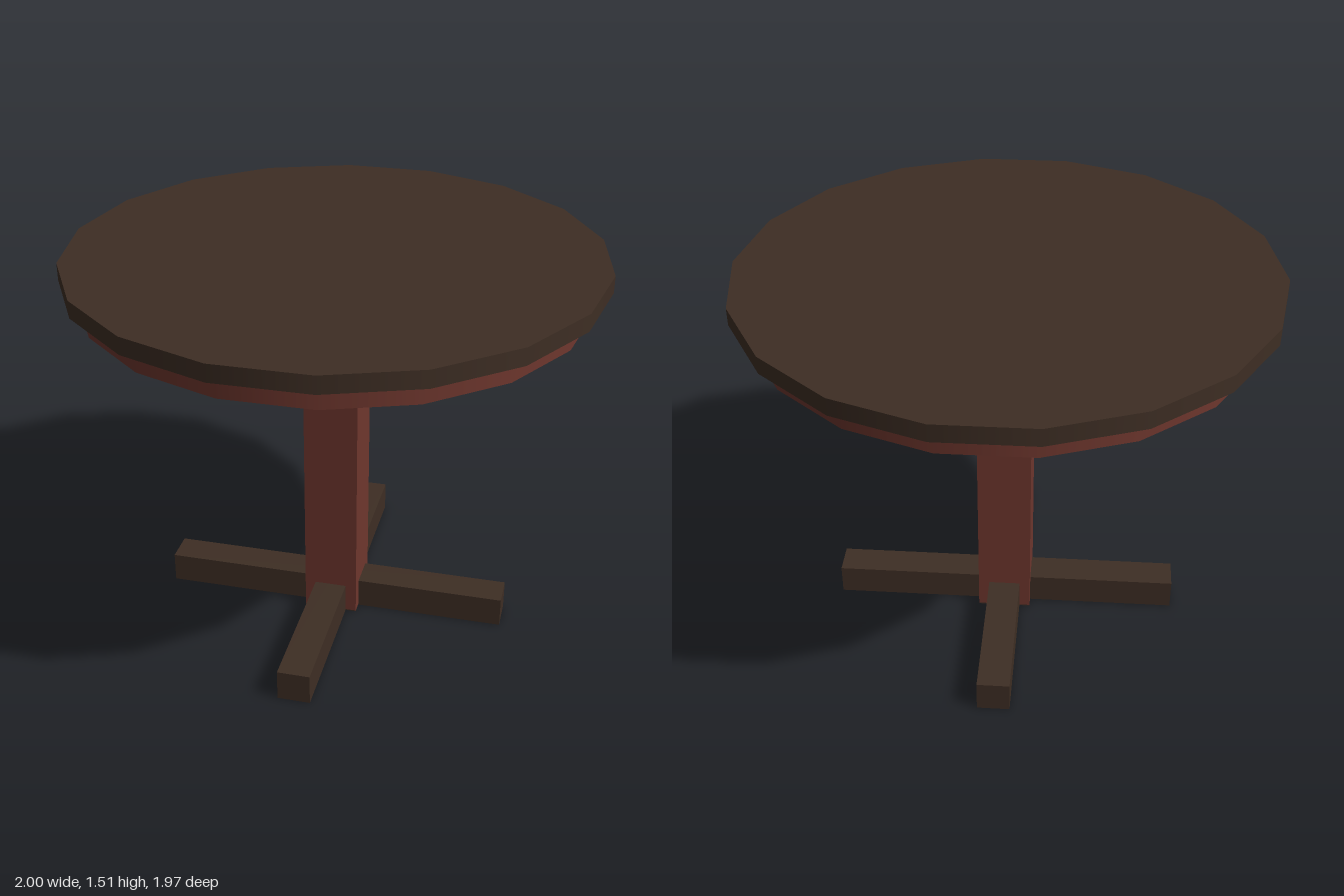
import * as THREE from 'three';

export function createModel() {
  const model = new THREE.Group();
  const darkWood = new THREE.MeshStandardMaterial({ color: 0x3e2e24 });
  darkWood.name = 'darkWood';
  const redWood = new THREE.MeshStandardMaterial({ color: 0x6f372e });
  redWood.name = 'redWood';

  const add = (name, geometry, material, x, y, z) => {
    const mesh = new THREE.Mesh(geometry, material);
    mesh.name = name;
    mesh.position.set(x, y, z);
    model.add(mesh);
  };

  // Eighteen-sided disc with a corner on the x axis, spanning y0 to y1
  const disc = (name, radius, y0, y1, material) =>
    add(name, new THREE.CylinderGeometry(radius, radius, y1 - y0, 18, 1, false, Math.PI / 18),
      material, 0, (y0 + y1) / 2, 0);

  // Box given by its lower and upper corners
  const block = (name, [x0, y0, z0], [x1, y1, z1], material) =>
    add(name, new THREE.BoxGeometry(x1 - x0, y1 - y0, z1 - z0), material,
      (x0 + x1) / 2, (y0 + y1) / 2, (z0 + z1) / 2);

  // Round top and the apron beneath it
  disc('tableTop', 1, 1.45, 1.515, darkWood);
  disc('apron', 0.94, 1.366, 1.45, redWood);

  // Square column with a dark underside
  block('column', [-0.097, 0.006, -0.1], [0.113, 1.168, 0.123], redWood);
  block('columnFoot', [-0.097, 0.002, -0.1], [0.113, 0.006, 0.123], darkWood);

  // Flared capital: box whose upper corners are spread outwards
  const capital = new THREE.BoxGeometry(0.21, 0.198, 0.223);
  const p = capital.attributes.position;
  for (let i = 0; i < p.count; i++) {
    if (p.getY(i) > 0) {
      p.setX(i, Math.sign(p.getX(i)) * 0.152);
      p.setZ(i, Math.sign(p.getZ(i)) * 0.163);
    }
  }
  capital.computeVertexNormals();
  add('capital', capital, redWood, 0.008, 1.267, 0.012);

  // Crossed floor beams
  block('sideBeam', [-0.68, 0, -0.055], [0.695, 0.12, 0.073], darkWood);
  block('frontBeam', [-0.055, 0, -0.685], [0.07, 0.122, 0.708], darkWood);

  return model;
}
